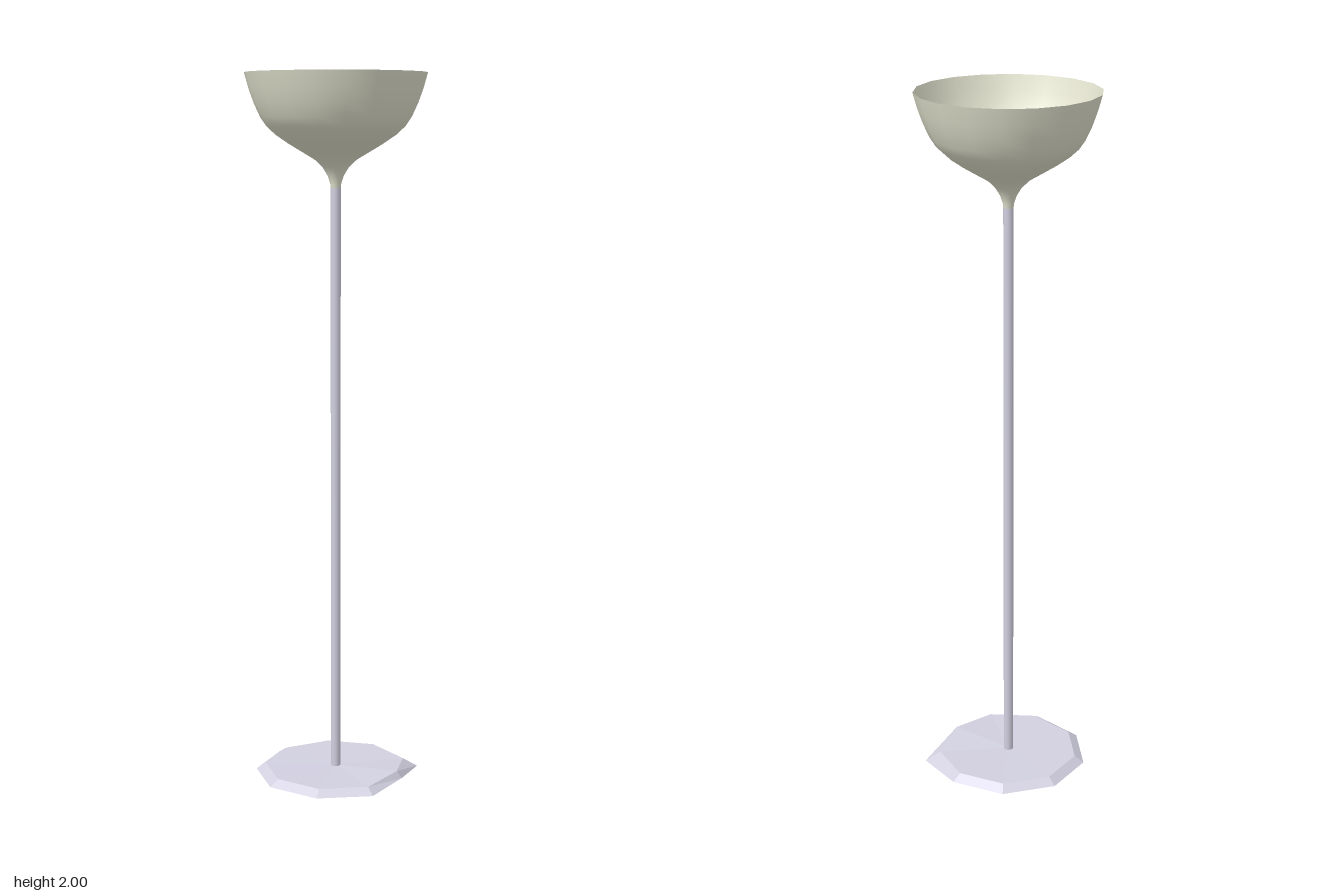
import * as THREE from 'three';

const shadeMat = new THREE.MeshStandardMaterial({ color: 0xe6e6d2, side: THREE.DoubleSide });
const metalMat = new THREE.MeshStandardMaterial({ color: 0xd2d0e0 });
const baseMat = new THREE.MeshStandardMaterial({ color: 0xd2d0e0, flatShading: true, side: THREE.DoubleSide });

// Nine-sided bevelled plate with one bent corner
function baseGeometry() {
  const sides = 9;
  const pos = [0, 0.035, 0, 0, 0.017, 0];
  const idx = [];
  for (let i = 0; i < sides; i++) {
    const a = THREE.MathUtils.degToRad(20 + 40 * i);
    let top = [0.203, 0.036], bottom = [0.23, 0.018];
    if (i === 0) { top = [0.205, 0.033]; bottom = [0.249, 0.005]; } // corner bent down
    if (i === 1) { top = [0.19, 0.043]; bottom = [0.205, 0.024]; } // corner pushed up
    for (const [r, y] of [top, bottom]) pos.push(r * Math.cos(a), y, r * Math.sin(a));
    const t = 2 + 2 * i, b = t + 1;
    const tn = 2 + 2 * ((i + 1) % sides), bn = tn + 1;
    idx.push(0, tn, t, t, tn, b, tn, bn, b, 1, b, bn);
  }
  const g = new THREE.BufferGeometry();
  g.setAttribute('position', new THREE.Float32BufferAttribute(pos, 3));
  g.setIndex(idx);
  const flat = g.toNonIndexed();
  flat.computeVertexNormals();
  return flat;
}

export function createModel() {
  const model = new THREE.Group();
  const add = (name, geometry, material) => {
    const mesh = new THREE.Mesh(geometry, material);
    mesh.name = name;
    model.add(mesh);
    return mesh;
  };

  // Foot plate
  add('base', baseGeometry(), baseMat);

  // Slim upright
  add('pole', new THREE.CylinderGeometry(0.014, 0.014, 1.69, 12), metalMat).position.y = 0.845;

  // Open bowl flaring from a narrow neck
  const profile = [
    [0.012, 1.675], [0.015, 1.7], [0.022, 1.722], [0.036, 1.745], [0.058, 1.766], [0.09, 1.785],
    [0.13, 1.809], [0.165, 1.833], [0.19, 1.856], [0.207, 1.881], [0.224, 1.918], [0.238, 1.957], [0.25, 2],
  ].map(([r, y]) => new THREE.Vector2(r, y));
  add('shade', new THREE.LatheGeometry(profile, 18, Math.PI / 2), shadeMat);

  return model;
}
